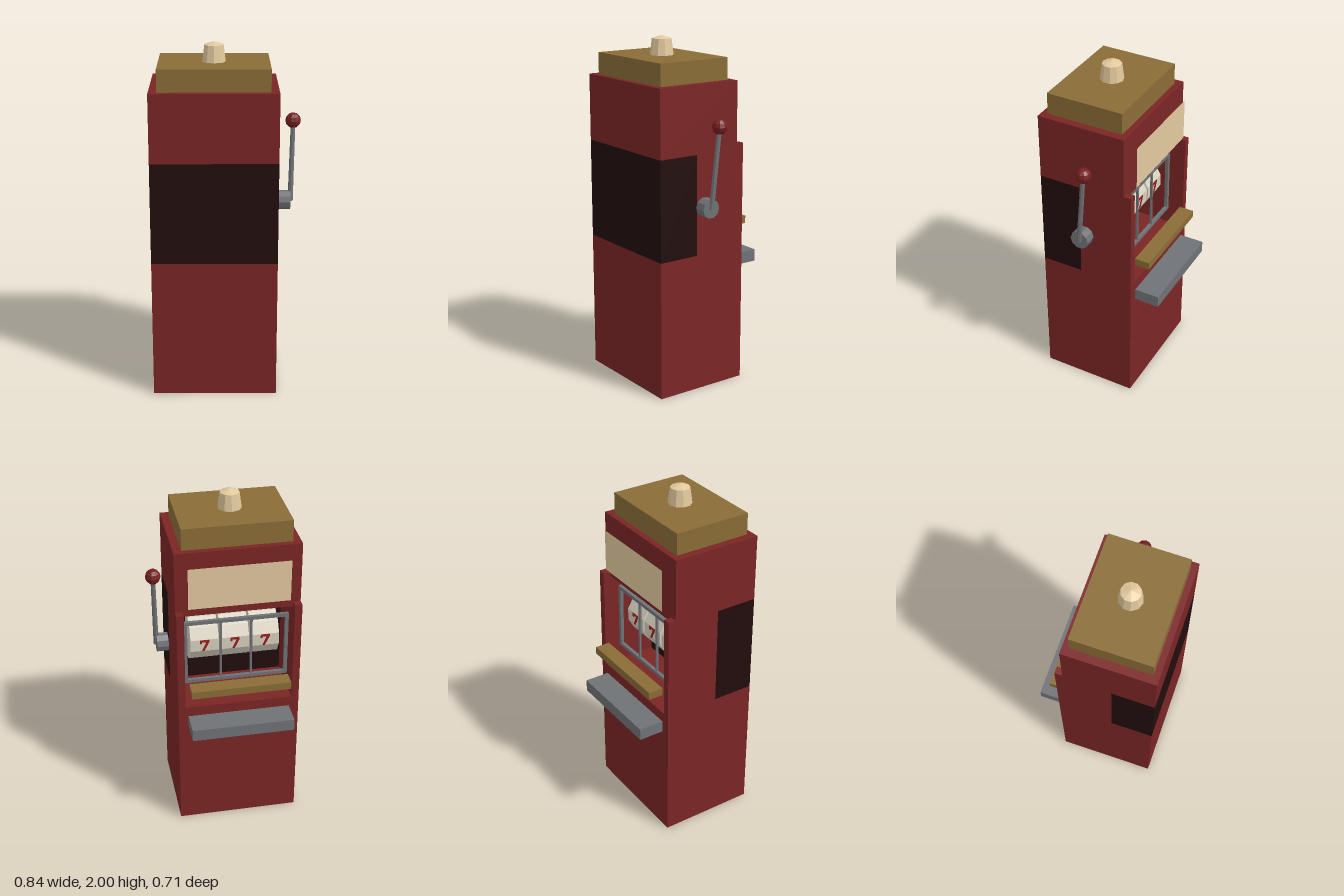
import * as THREE from 'three';

const mat = (name, color, extra = {}) => {
  const m = new THREE.MeshStandardMaterial({ color, ...extra });
  m.name = name;
  return m;
};

export function createModel() {
  const red = mat('cabinet red', 0x7b2525);
  const dark = mat('dark recess', 0x220d0d);
  const gold = mat('gold trim', 0x8a6c36);
  const grey = mat('steel grey', 0x6f7276, { flatShading: true });
  const cream = mat('lamp cream', 0xe2c99e, { flatShading: true });
  const ivory = mat('reel ivory', 0xd6d0be, { flatShading: true });
  const symbolRed = mat('symbol red', 0x9c1f1c);
  const knobRed = mat('knob red', 0x761f1f, { flatShading: true });

  const root = new THREE.Group();
  root.name = 'slotMachine';
  const CX = -0.07; // cabinet centre line

  const add = (name, geo, material, x = 0, y = 0, z = 0, parent = root) => {
    const m = new THREE.Mesh(geo, material);
    m.name = name;
    m.position.set(x, y, z);
    parent.add(m);
    return m;
  };
  // box from its limits, x measured as half width about the centre line
  const slab = (name, material, halfW, y0, y1, z0, z1, parent = root) =>
    add(name, new THREE.BoxGeometry(halfW * 2, y1 - y0, z1 - z0), material,
      CX, (y0 + y1) / 2, (z0 + z1) / 2, parent);

  // cabinet: base, head, dark box behind the reels and two side walls
  slab('cabinetBase', red, 0.352, 0, 0.803, -0.21, 0.357);
  slab('cabinetHead', red, 0.352, 1.38, 1.765, -0.165, 0.357);
  slab('reelBoxBack', dark, 0.352, 0.803, 1.38, 0.112, 0.357);
  for (const s of [-1, 1]) {
    add('sideWall', new THREE.BoxGeometry(0.042, 0.607, 0.322), red, CX + s * 0.331, 1.1065, -0.049);
  }

  // topper and lamp
  slab('topper', gold, 0.306, 1.765, 1.89, -0.13, 0.322);
  const lampProfile = [[0, 0], [0.067, 0], [0.055, 0.092], [0, 0.11]].map(p => new THREE.Vector2(...p));
  add('lamp', new THREE.LatheGeometry(lampProfile, 10), cream, CX, 1.89, 0.097);

  // display sheet facing the player
  const display = add('displayPanel', new THREE.PlaneGeometry(0.57, 0.245), cream, CX, 1.568, -0.208);
  display.rotation.y = Math.PI;

  // shelf and coin tray
  slab('shelf', gold, 0.285, 0.912, 0.957, -0.29, -0.202);
  slab('coinTray', grey, 0.295, 0.672, 0.742, -0.357, -0.2);

  // reels, each with a bent-stroke symbol
  const reelGeo = new THREE.CylinderGeometry(0.14, 0.14, 0.162, 12);
  reelGeo.rotateY(Math.PI / 12).rotateZ(Math.PI / 2);
  const stroke = new THREE.Shape([
    [-0.026, 0.035], [0.026, 0.035], [0.026, 0.022], [-0.002, -0.035], [-0.016, -0.035],
    [0.01, 0.022], [-0.015, 0.022], [-0.015, 0.012], [-0.026, 0.012],
  ].map(p => new THREE.Vector2(...p)));
  const symbolGeo = new THREE.ExtrudeGeometry(stroke, { depth: 0.005, bevelEnabled: false });
  symbolGeo.rotateY(Math.PI);
  for (const i of [-1, 0, 1]) {
    const reel = new THREE.Group();
    reel.name = 'reel';
    reel.position.set(CX + i * 0.175, 1.13, 0.052);
    add('reelDrum', reelGeo, ivory, 0, 0, 0, reel);
    add('reelSymbol', symbolGeo, symbolRed, 0, 0, -0.134, reel);
    root.add(reel);
  }

  // window frame with two dividers
  const frame = new THREE.Group();
  frame.name = 'windowFrame';
  root.add(frame);
  for (const y of [0.92, 1.3]) slab('frameRail', grey, 0.3, y - 0.01, y + 0.01, -0.12, -0.1, frame);
  for (const s of [-1, 1]) {
    add('frameStile', new THREE.BoxGeometry(0.02, 0.36, 0.02), grey, CX + s * 0.29, 1.11, -0.11, frame);
    add('frameDivider', new THREE.BoxGeometry(0.012, 0.36, 0.012), grey, CX + s * 0.0875, 1.11, -0.11, frame);
  }

  // lever: pivot, leaning arm and knob
  const lever = new THREE.Group();
  lever.name = 'lever';
  root.add(lever);
  const pivot = new THREE.CylinderGeometry(0.055, 0.055, 0.066, 10).rotateZ(Math.PI / 2);
  add('leverPivot', pivot, grey, 0.328, 1.085, 0.073, lever);
  const a = new THREE.Vector3(0.362, 1.08, 0.073), b = new THREE.Vector3(0.373, 1.53, 0.03);
  const arm = add('leverArm', new THREE.CylinderGeometry(0.013, 0.015, a.distanceTo(b), 8), grey, 0, 0, 0, lever);
  arm.position.copy(a).lerp(b, 0.5);
  arm.quaternion.setFromUnitVectors(new THREE.Vector3(0, 1, 0), b.clone().sub(a).normalize());
  add('leverKnob', new THREE.SphereGeometry(0.044, 10, 6), knobRed, 0.373, 1.54, 0.028, lever);

  return root;
}
